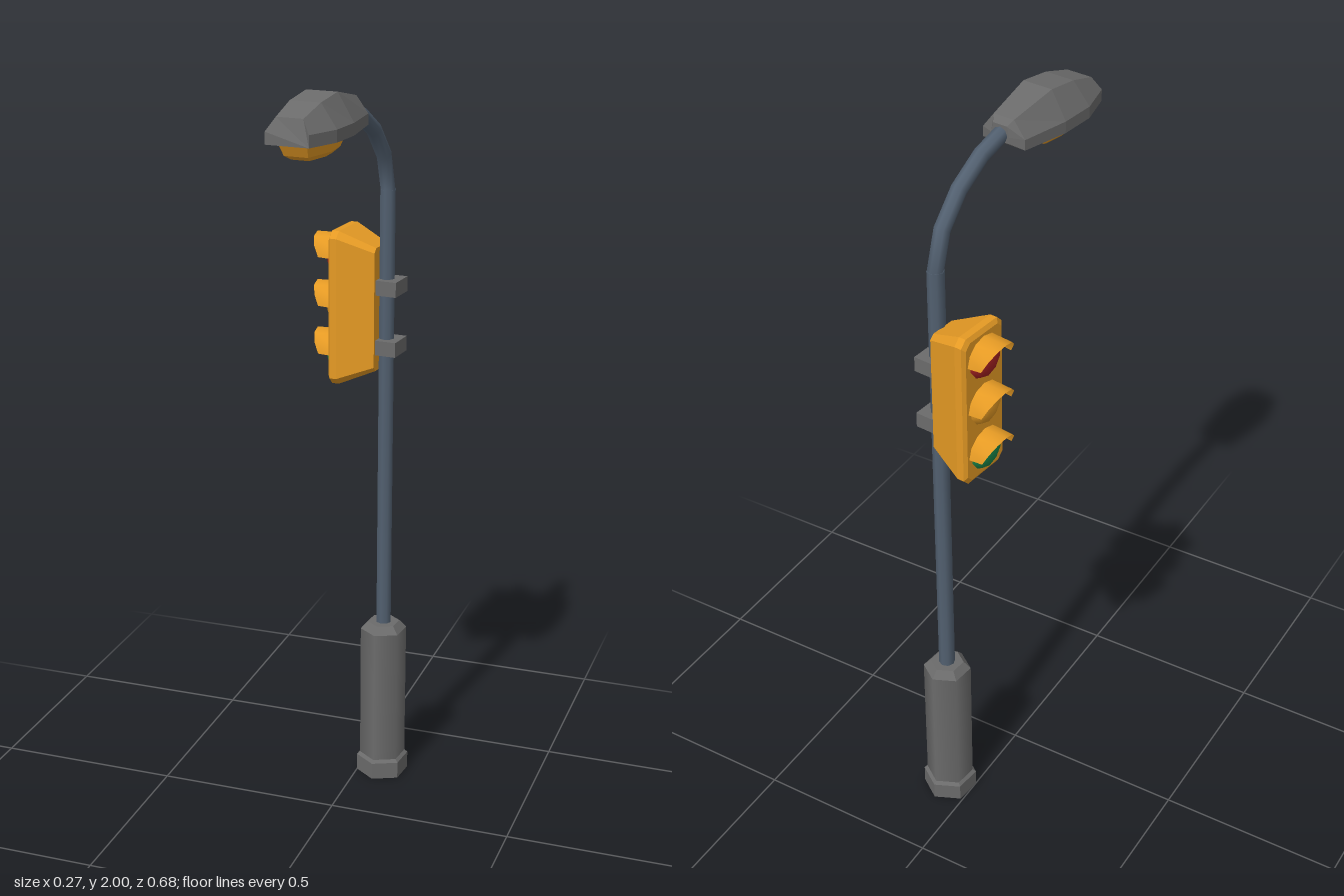
import * as THREE from 'three';

const makeMaterial = (name, color, side = THREE.FrontSide) => {
  const m = new THREE.MeshStandardMaterial({ color, side });
  m.name = name;
  return m;
};

// Flat-shaded skin over rings of [x, y, z] points, each counter-clockwise about the path direction
function loft(rings) {
  const pos = [];
  const tri = (...points) => points.forEach(p => pos.push(...p));
  const n = rings[0].length;
  for (let i = 0; i < rings.length - 1; i++) {
    for (let j = 0; j < n; j++) {
      const k = (j + 1) % n;
      const a = rings[i][j], b = rings[i][k], c = rings[i + 1][k], d = rings[i + 1][j];
      tri(a, b, c);
      tri(a, c, d);
    }
  }
  const first = rings[0], last = rings[rings.length - 1];
  for (let j = 1; j < n - 1; j++) {
    tri(first[0], first[j + 1], first[j]);
    tri(last[0], last[j], last[j + 1]);
  }
  const g = new THREE.BufferGeometry();
  g.setAttribute('position', new THREE.Float32BufferAttribute(pos, 3));
  g.computeVertexNormals();
  return g;
}

function flat(geometry) {
  const g = geometry.toNonIndexed();
  g.computeVertexNormals();
  return g;
}

// Rectangle with cut corners, facing -x
function housingRing(x, halfY, halfZ, cut) {
  const y = halfY - cut, z = halfZ - cut;
  return [[halfZ, -y], [halfZ, y], [z, halfY], [-z, halfY], [-halfZ, y], [-halfZ, -y], [-z, -halfY], [z, -halfY]]
    .map(([pz, py]) => [x, py, pz]);
}

// Half tube facing -x, longest at its top
function visorGeometry() {
  const steps = 6, pos = [], index = [];
  for (let i = 0; i <= steps; i++) {
    const a = Math.PI * i / steps, s = Math.sin(a), c = Math.cos(a);
    pos.push(0, 0.058 * s, 0.063 * c);
    pos.push(-0.036 - 0.029 * s, 0.056 * s, 0.059 * c);
    if (i < steps) {
      const k = i * 2;
      index.push(k, k + 2, k + 3, k, k + 3, k + 1);
    }
  }
  const g = new THREE.BufferGeometry();
  g.setAttribute('position', new THREE.Float32BufferAttribute(pos, 3));
  g.setIndex(index);
  g.computeVertexNormals();
  return g;
}

export function createModel() {
  const grey = makeMaterial('grey metal', 0x6b6b6b, THREE.DoubleSide);
  const steel = makeMaterial('blue steel', 0x526070);
  const amber = makeMaterial('amber', 0xe59a24, THREE.DoubleSide);
  const red = makeMaterial('red lens', 0xa82222);
  const green = makeMaterial('green lens', 0x1b8a4b);

  const model = new THREE.Group();
  model.name = 'streetLightWithSignal';
  const post = new THREE.Group();
  post.name = 'post';
  post.position.set(0.066, 0, -0.25);
  post.rotation.y = -0.1;
  model.add(post);

  const add = (name, geometry, material, parent = post) => {
    const mesh = new THREE.Mesh(geometry, material);
    mesh.name = name;
    parent.add(mesh);
    return mesh;
  };
  const hexRing = (rTop, rBottom, y0, y1) =>
    new THREE.CylinderGeometry(rTop, rBottom, y1 - y0, 6, 1, true).translate(0, (y0 + y1) / 2, 0);

  // Hollow hexagonal base
  add('baseFlange', flat(hexRing(0.073, 0.073, 0, 0.048)), grey);
  add('baseFlangeBevel', flat(hexRing(0.064, 0.073, 0.048, 0.056)), grey);
  add('baseShaft', hexRing(0.064, 0.064, 0.056, 0.445), grey);
  add('baseShoulder', flat(hexRing(0.045, 0.064, 0.445, 0.466)), grey);
  add('baseTop', new THREE.CircleGeometry(0.045, 6, Math.PI / 2).rotateX(-Math.PI / 2).translate(0, 0.466, 0), grey);

  // Pole and bent arm
  add('pole', new THREE.CylinderGeometry(0.0215, 0.0215, 1.68, 8).translate(0, 0.85, 0), steel);
  const bend = new THREE.CubicBezierCurve3(
    new THREE.Vector3(0, 1.69, 0), new THREE.Vector3(0, 1.8, 0),
    new THREE.Vector3(0, 1.915, 0.12), new THREE.Vector3(0, 1.938, 0.275));
  add('arm', new THREE.TubeGeometry(bend, 4, 0.0205, 8), steel);

  // Lamp head: [rim z, rim half width, bottom y, rim y, top z, top half width, top y]
  const lampSections = [
    [0.252, 0.026, 1.915, 1.932, 0.252, 0.02, 1.958],
    [0.267, 0.061, 1.903, 1.93, 0.267, 0.029, 1.972],
    [0.399, 0.083, 1.9, 1.93, 0.4, 0.041, 2.0],
    [0.496, 0.084, 1.9, 1.93, 0.49, 0.04, 1.988],
    [0.589, 0.056, 1.9, 1.93, 0.573, 0.035, 1.963],
  ];
  add('lampHead', loft(lampSections.map(([z, w, y0, y1, tz, tw, ty]) => [
    [w, y0, z], [w, y1, z], [tw, ty, tz], [-tw, ty, tz], [-w, y1, z], [-w, y0, z],
  ])), grey);

  // Lamp glass below the head
  const glassOutline = [[0.045, -0.1], [0.057, -0.01], [0.038, 0.103], [-0.038, 0.103], [-0.057, -0.01], [-0.045, -0.1]];
  const glassRing = (y, s) => glassOutline.map(([x, z]) => [x * s, y, 0.457 + z * s]);
  add('lampGlass', loft([glassRing(1.902, 1), glassRing(1.868, 0.82), glassRing(1.856, 0.6)]), amber);

  // Signal housing on the model's right side
  const signal = new THREE.Group();
  signal.name = 'signal';
  signal.position.y = 1.373;
  post.add(signal);
  add('signalHousing', loft([
    housingRing(-0.016, 0.167, 0.047, 0.012),
    housingRing(-0.112, 0.208, 0.078, 0.018),
    housingRing(-0.131, 0.208, 0.078, 0.018),
    housingRing(-0.138, 0.197, 0.069, 0.016),
  ]), amber, signal);

  // Lenses with hoods
  const visor = visorGeometry();
  const dome = new THREE.SphereGeometry(0.055, 10, 3, 0, Math.PI * 2, 0, Math.PI / 2)
    .scale(1, 0.5, 1).rotateZ(Math.PI / 2);
  [['red', red], ['amber', amber], ['green', green]].forEach(([name, material], i) => {
    const y = 0.132 * (1 - i);
    add(name + 'Lens', dome, material, signal).position.set(-0.137, y, 0);
    add(name + 'Visor', visor, amber, signal).position.set(-0.137, y, 0);
  });

  // Clamps holding the signal to the pole
  for (const y of [1.434, 1.271]) {
    add('clamp', new THREE.BoxGeometry(0.065, 0.04, 0.078).translate(0.009, y, 0), grey);
  }

  return model;
}
